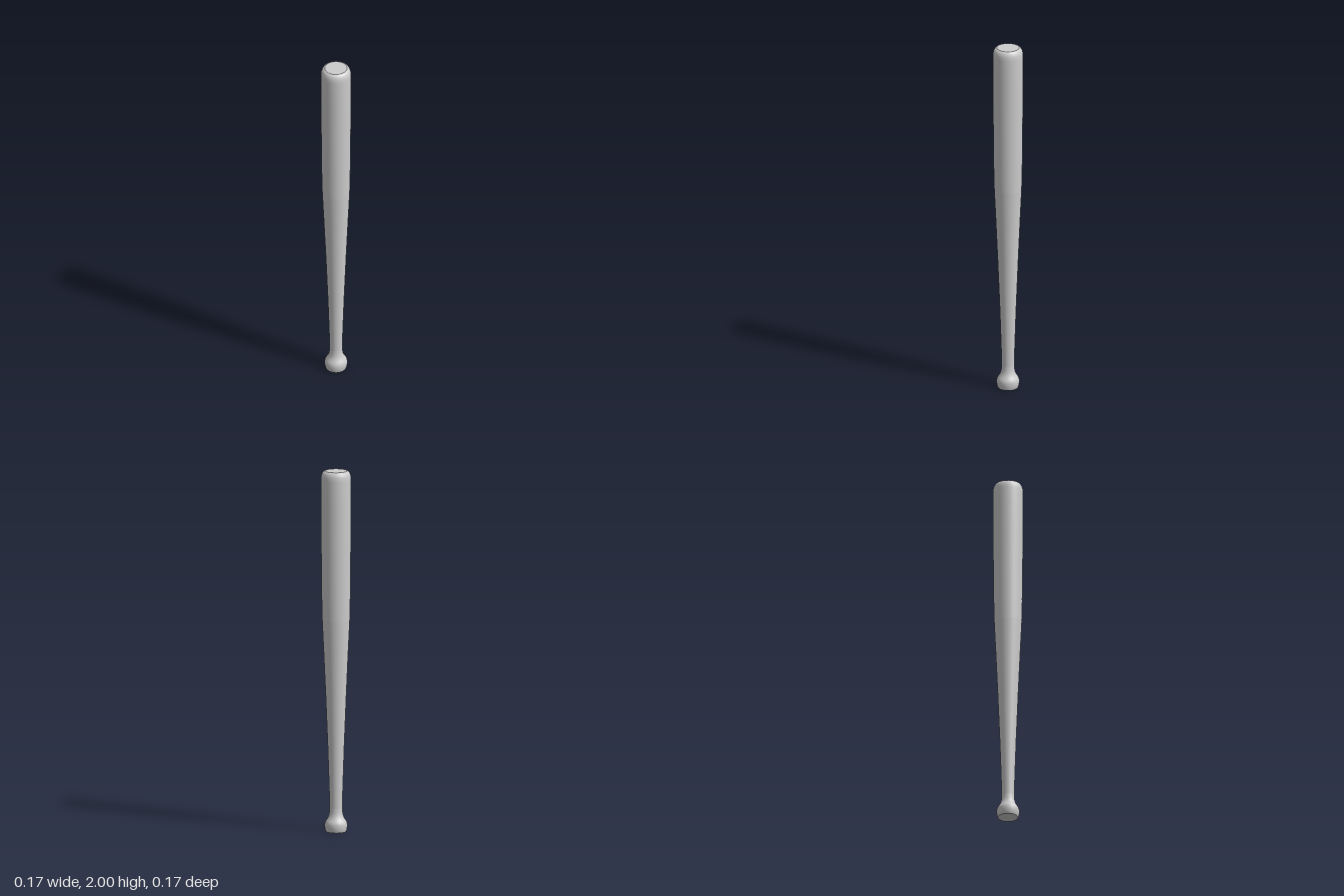
import * as THREE from 'three';

const SIDES = 40;
const material = new THREE.MeshStandardMaterial({ color: 0xcccccc });

// Turned section from [radius, height] pairs, bottom to top
function turned(name, profile) {
  const points = profile.map(([r, y]) => new THREE.Vector2(r, y));
  const mesh = new THREE.Mesh(new THREE.LatheGeometry(points, SIDES), material);
  mesh.name = name;
  return mesh;
}

// Flat end disc facing up (1) or down (-1)
function endCap(name, radius, y, facing) {
  const geometry = new THREE.CircleGeometry(radius, SIDES);
  geometry.rotateX(-facing * Math.PI / 2);
  const mesh = new THREE.Mesh(geometry, material);
  mesh.name = name;
  mesh.position.y = y;
  return mesh;
}

export function createModel() {
  const bat = new THREE.Group();
  bat.name = 'bat';

  // Rounded knob flaring out below the grip
  bat.add(turned('knob', [
    [0.055, 0], [0.059, 0.009], [0.062, 0.026], [0.062, 0.042], [0.059, 0.054],
    [0.053, 0.064], [0.045, 0.077], [0.039, 0.092], [0.036, 0.11], [0.035, 0.13],
  ]));

  // Slim handle widening steadily to the barrel
  bat.add(turned('handle', [
    [0.035, 0.13], [0.036, 0.2], [0.044, 0.45], [0.056, 0.75],
    [0.067, 1.0], [0.075, 1.17],
  ]));

  // Barrel with a rounded shoulder at the tip
  bat.add(turned('barrel', [
    [0.075, 1.17], [0.078, 1.3], [0.08, 1.5], [0.082, 1.7], [0.083, 1.85], [0.083, 1.95],
    [0.081, 1.972], [0.077, 1.986], [0.07, 1.996], [0.061, 2],
  ]));

  // Flat ends
  bat.add(endCap('tipCap', 0.061, 2, 1));
  bat.add(endCap('knobCap', 0.055, 0, -1));

  return bat;
}
